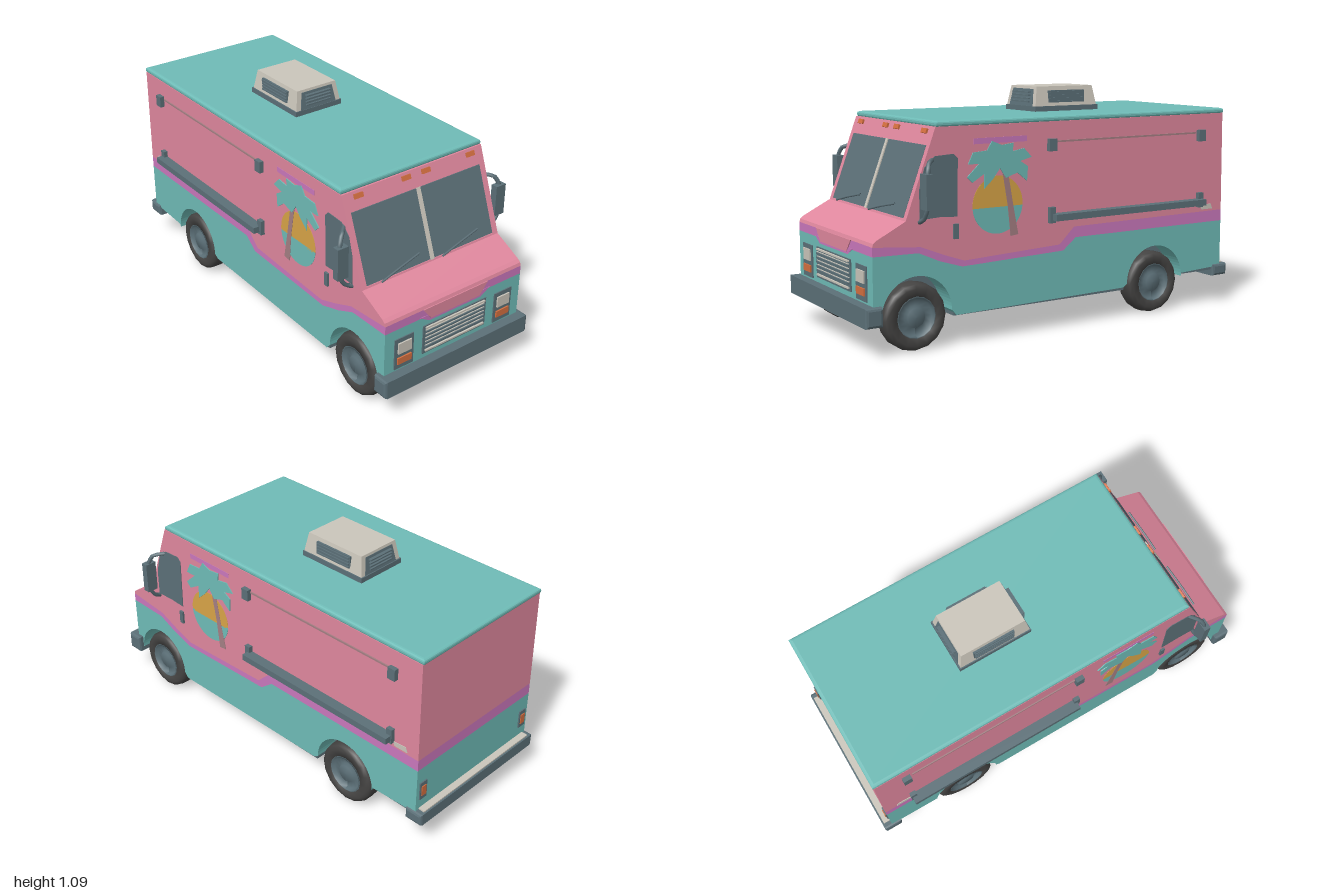
import * as THREE from 'three';

const mat = (name, color) => {
  const m = new THREE.MeshStandardMaterial({ color });
  m.name = name;
  return m;
};

export function createModel() {
  const pink = mat('pink paint', 0xe0889e), teal = mat('teal paint', 0x6fbcb7), slate = mat('slate trim', 0x5c7078);
  const purple = mat('purple stripe', 0xcb78bd), cream = mat('cream', 0xcbc6bb), tyre = mat('tyre rubber', 0x454443);
  const orange = mat('orange lamp', 0xd46f40), yellow = mat('sunset yellow', 0xd9a548), trunk = mat('palm trunk', 0xa57f84);
  const root = new THREE.Group();
  const W = 0.39; // half width of the body

  const add = (name, geo, material, parent = root) => {
    const m = new THREE.Mesh(geo, material);
    m.name = name;
    parent.add(m);
    return m;
  };
  const box = (name, material, x0, x1, y0, y1, z0, z1, parent = root) => {
    const m = add(name, new THREE.BoxGeometry(x1 - x0, y1 - y0, z1 - z0), material, parent);
    m.position.set((x0 + x1) / 2, (y0 + y1) / 2, (z0 + z1) / 2);
    return m;
  };
  const poly = pts => new THREE.Shape(pts.map(p => new THREE.Vector2(p[0], p[1])));
  const slabGeo = (shape, z0, z1) =>
    new THREE.ExtrudeGeometry(shape, { depth: z1 - z0, bevelEnabled: false, curveSegments: 16 }).translate(0, 0, z0);
  const slab = (name, material, shape, z0, z1) => add(name, slabGeo(shape, z0, z1), material);
  // the same thing on both flanks, between two distances from the centre plane
  const flanks = (name, material, shape, a, b) => {
    slab(name, material, shape, a, b);
    slab(name, material, shape, -b, -a);
  };
  const rect = (x0, x1, y0, y1) => poly([[x0, y0], [x1, y0], [x1, y1], [x0, y1]]);
  const tube = (name, material, pts, r) =>
    add(name, new THREE.TubeGeometry(new THREE.CatmullRomCurve3(pts.map(p => new THREE.Vector3(...p)), false, 'catmullrom', 0.2), 16, r, 6), material);

  // Paint boundaries along the flank
  const low = [[-0.96, 0.42], [-0.07, 0.42], [0, 0.365], [0.53, 0.35], [0.64, 0.385], [0.74, 0.43], [0.955, 0.435]];
  const high = [[-0.96, 0.475], [-0.06, 0.47], [0.02, 0.395], [0.52, 0.375], [0.62, 0.41], [0.73, 0.455], [0.955, 0.475]];

  // Lower body with wheel arches
  const lower = new THREE.Shape();
  lower.moveTo(-0.96, 0.19);
  lower.lineTo(-0.71, 0.18);
  lower.absarc(-0.54, 0.165, 0.168, Math.PI, 0, true);
  lower.lineTo(-0.35, 0.15);
  lower.lineTo(0.56, 0.14);
  lower.absarc(0.75, 0.165, 0.168, Math.PI, 0, true);
  lower.lineTo(0.955, 0.17);
  [...low].reverse().forEach(p => lower.lineTo(p[0], p[1]));
  slab('lowerBody', teal, lower, -W, W);
  slab('stripe', purple, poly([...low, ...[...high].reverse()]), -W, W);

  // Upper body: solid flanks, and a core with the cab hollowed out
  const roofLine = [[0.655, 0.957], [-0.955, 0.957]];
  const nose = [[0.95, 0.49], [0.935, 0.502], [0.8, 0.57]];
  flanks('upperSide', pink, poly([...high, ...nose, ...roofLine]), 0.362, W);
  const slope = y => 0.8 - (y - 0.57) * 0.375;
  const cab = [[slope(0.578), 0.578], [0.5, 0.578], [0.5, 0.88], [slope(0.88), 0.88]];
  slab('upperBody', pink, poly([...high, ...nose, ...cab, ...roofLine]), -0.362, 0.362);
  // Cab lining, turned inside out
  const lining = slabGeo(poly([[slope(0.58), 0.58], [slope(0.878), 0.878], [0.503, 0.878], [0.503, 0.58]]), -0.36, 0.36);
  lining.scale(1, 1, -1);
  lining.computeVertexNormals();
  add('cabLining', lining, slate);

  // Roof with softened edges
  const roof = new THREE.ExtrudeGeometry(rect(-0.945, 0.635, -W + 0.015, W - 0.015),
    { depth: 0.008, bevelThickness: 0.01, bevelSize: 0.015, bevelSegments: 3 });
  roof.rotateX(-Math.PI / 2).translate(0, 0.963, 0);
  add('roof', roof, teal);

  // Windscreen, laid on the slope of the cab front
  const tilt = new THREE.Group();
  tilt.name = 'windscreen';
  tilt.position.set(slope(0.729), 0.729, 0);
  tilt.rotation.z = Math.atan(0.375);
  root.add(tilt);
  box('windscreenGlass', slate, -0.02, -0.008, -0.162, 0.162, 0.01, 0.36, tilt);
  box('centrePillar', cream, -0.012, 0.005, -0.162, 0.162, -0.01, 0.01, tilt);
  for (const z of [-0.315, -0.057, 0.053, 0.31]) box('markerLamp', orange, -0.003, 0.009, 0.21, 0.231, z - 0.023, z + 0.023, tilt);
  for (const s of [0.29, -0.05]) {
    tube('wiper', slate, [[slope(0.58) + 0.012, 0.58, s], [slope(0.6) + 0.012, 0.605, s - 0.1], [slope(0.625) + 0.01, 0.63, s - 0.22]], 0.005);
  }
  // Cab furniture
  box('seat', slate, 0.53, 0.57, 0.58, 0.7, -0.28, -0.17);
  const wheelRing = add('steeringWheel', new THREE.TorusGeometry(0.06, 0.008, 6, 16), slate);
  wheelRing.position.set(0.69, 0.64, -0.2);
  wheelRing.rotation.set(0, Math.PI / 2, 0.6, 'ZYX');

  // Nose: dipped pink panel, grille and headlamps
  const frontPlate = (name, material, pts, x0, x1) => {
    const g = slabGeo(poly(pts), 0, x1 - x0).rotateY(Math.PI / 2).translate(x0, 0, 0);
    return add(name, g, material);
  };
  frontPlate('nosePanelEdge', purple, [[-0.15, 0.41], [0.15, 0.41], [0.2, 0.44], [-0.2, 0.44]], 0.955, 0.957);
  frontPlate('nosePanel', pink, [[-0.14, 0.42], [0.14, 0.42], [0.185, 0.476], [-0.185, 0.476]], 0.955, 0.959);
  box('grille', slate, 0.95, 0.96, 0.25, 0.392, -0.182, 0.182);
  for (let i = 0; i < 7; i++) {
    const y = 0.262 + i * 0.0195;
    box('grilleBar', i % 6 ? slate : cream, 0.955, 0.968, y, y + 0.008, -0.17, 0.17);
    if (i % 6) box('grilleLine', cream, 0.955, 0.964, y + 0.009, y + 0.012, -0.17, 0.17);
  }
  for (const s of [-1, 1]) {
    const lamp = (name, m, x, y0, y1, w) => box(name, m, 0.95, x, y0, y1, s * 0.286 - w, s * 0.286 + w);
    lamp('lampBezel', slate, 0.96, 0.235, 0.387, 0.052);
    lamp('headlamp', cream, 0.967, 0.313, 0.366, 0.036);
    lamp('indicator', orange, 0.967, 0.26, 0.292, 0.038);
    // Tail lamps
    box('tailLampBezel', slate, -0.966, -0.955, 0.255, 0.345, s * 0.35 - 0.022, s * 0.35 + 0.022);
    box('tailLamp', orange, -0.97, -0.96, 0.275, 0.325, s * 0.35 - 0.014, s * 0.35 + 0.014);
  }

  // Bumpers
  const bumper = (x0, x1, y0, y1, hw) => {
    const b = 0.012;
    const g = new THREE.ExtrudeGeometry(rect(x0 + b, x1 - b, y0 + b, y1 - b),
      { depth: 2 * (hw - b), bevelThickness: b, bevelSize: b, bevelSegments: 2 });
    return g.translate(0, 0, b - hw);
  };
  add('frontBumper', bumper(0.92, 1, 0.14, 0.225, 0.417), slate);
  add('rearBumper', bumper(-1, -0.91, 0.142, 0.2, 0.4), slate);
  box('rearStep', cream, -0.992, -0.95, 0.195, 0.206, -0.37, 0.37);

  // Underside and inner arches
  box('underside', slate, -0.36, 0.57, 0.136, 0.152, -0.38, 0.38);
  box('rearUnderside', slate, -0.955, -0.71, 0.172, 0.19, -0.38, 0.38);
  for (const x of [-0.54, 0.75]) {
    box('innerArch', slate, x - 0.172, x + 0.172, 0.17, 0.345, -0.28, 0.28);
    const axle = add('axle', new THREE.CylinderGeometry(0.025, 0.025, 0.6, 8).rotateX(Math.PI / 2), slate);
    axle.position.set(x, 0.152, 0);
  }

  // Wheels
  const lathe = pts => new THREE.LatheGeometry(pts.map(p => new THREE.Vector2(...p)), 16).rotateX(Math.PI / 2);
  const tyreGeo = lathe([[0, -0.048], [0.125, -0.048], [0.142, -0.04], [0.149, -0.022], [0.149, 0.022], [0.142, 0.04], [0.125, 0.048], [0.092, 0.046], [0.088, 0.025]]);
  const hubGeo = lathe([[0.094, 0.044], [0.086, 0.048], [0.08, 0.03], [0.05, 0.028], [0.042, 0.042], [0, 0.044]].reverse());
  hubGeo.index.array.reverse(); // turn the hub face outwards
  hubGeo.computeVertexNormals();
  for (const x of [-0.54, 0.75]) for (const s of [-1, 1]) {
    const wheel = new THREE.Group();
    wheel.name = 'wheel';
    wheel.position.set(x, 0.152, s * 0.337);
    if (s < 0) wheel.rotation.y = Math.PI;
    add('tyre', tyreGeo, tyre, wheel).material.side = THREE.DoubleSide;
    add('hub', hubGeo, slate, wheel).material.side = THREE.DoubleSide;
    root.add(wheel);
  }

  // Roof vent: slate base and ends, cream hood, louvres all round
  box('ventBase', slate, -0.382, -0.02, 0.978, 1.005, -0.13, 0.13);
  const frustum = (name, m, w, d, y0, y1, k) => {
    const g = new THREE.BoxGeometry(w, y1 - y0, d).translate(-0.2, (y0 + y1) / 2, 0);
    const p = g.attributes.position;
    for (let i = 0; i < p.count; i++) if (p.getY(i) > (y0 + y1) / 2) {
      p.setX(i, p.getX(i) + Math.sign(-0.2 - p.getX(i)) * k);
      p.setZ(i, p.getZ(i) - Math.sign(p.getZ(i)) * k);
    }
    g.computeVertexNormals();
    add(name, g, m);
  };
  frustum('ventHood', cream, 0.352, 0.25, 1.003, 1.097, 0.016);
  frustum('ventEnds', slate, 0.356, 0.2, 1.003, 1.085, 0.014);
  box('ventGrille', slate, -0.305, -0.1, 1.018, 1.078, -0.122, 0.122);
  for (let i = 0; i < 4; i++) {
    const y = 1.022 + i * 0.015;
    box('louvre', slate, -0.3, -0.105, y, y + 0.006, -0.128, 0.128);
    box('endLouvre', slate, -0.382, -0.018, y, y + 0.006, -0.07, 0.07);
  }

  // Serving hatch: shelf, brackets and awning rail
  flanks('shelf', slate, rect(-0.82, 0.07, 0.512, 0.542), W - 0.005, 0.44);
  flanks('awningRail', trunk, rect(-0.78, 0.05, 0.862, 0.87), W - 0.005, 0.396);
  for (const x of [-0.81, 0.07]) {
    flanks('railBracket', slate, rect(x - 0.02, x + 0.02, 0.825, 0.88), W - 0.005, 0.412);
    flanks('shelfBracket', slate, rect(x - 0.015, x + 0.015, 0.5, 0.572), W - 0.005, 0.41);
  }
  flanks('sidePlate', cream, poly([[-0.9, 0.485], [-0.83, 0.485], [-0.82, 0.505], [-0.89, 0.51]]), W, 0.393);

  // Sunset and palm painting
  const arc = (a, b) => {
    const s = new THREE.Shape();
    s.absarc(0.35, 0.605, 0.128, a, b, false);
    return s;
  };
  const paint = (name, m, shape, layer) => flanks(name, m, shape, W - 0.002, W + 0.0015 * layer);
  paint('sun', yellow, arc(-0.08, Math.PI + 0.08), 1);
  paint('sea', teal, arc(Math.PI + 0.08, 2 * Math.PI - 0.08), 1);
  paint('sunBase', yellow, rect(0.235, 0.462, 0.588, 0.6), 1);
  paint('palmTrunk', trunk, poly([[0.245, 0.465], [0.285, 0.46], [0.3, 0.6], [0.325, 0.74], [0.298, 0.745], [0.272, 0.6]]), 2);
  paint('palmLeaves', teal, poly([[0.31, 0.72], [0.25, 0.74], [0.2, 0.7], [0.195, 0.765], [0.235, 0.79], [0.175, 0.805], [0.215, 0.845],
    [0.275, 0.835], [0.27, 0.872], [0.33, 0.865], [0.38, 0.885], [0.405, 0.845], [0.475, 0.84], [0.5, 0.79], [0.445, 0.79],
    [0.505, 0.735], [0.48, 0.71], [0.42, 0.745], [0.42, 0.68], [0.375, 0.72], [0.34, 0.765]]), 3);
  paint('skyStreak', purple, rect(0.2, 0.47, 0.875, 0.9), 1);

  // Door window, handle and sill line
  paint('doorWindow', slate, poly([[0.555, 0.57], [0.64, 0.575], [0.735, 0.57], [0.735, 0.7], [0.71, 0.79], [0.66, 0.835], [0.57, 0.84], [0.55, 0.82]]), 2);
  flanks('doorHandle', slate, rect(0.552, 0.575, 0.475, 0.54), W - 0.005, 0.4);
  // Mirrors on bent arms
  for (const s of [-1, 1]) {
    tube('mirrorArm', slate, [[0.67, 0.82, s * 0.385], [0.71, 0.81, s * 0.43], [0.725, 0.77, s * 0.45], [0.73, 0.62, s * 0.45], [0.73, 0.575, s * 0.42], [0.735, 0.56, s * 0.385]], 0.01);
    box('mirror', slate, 0.712, 0.745, 0.62, 0.77, s * 0.447 - 0.028, s * 0.447 + 0.028);
  }
  return root;
}
